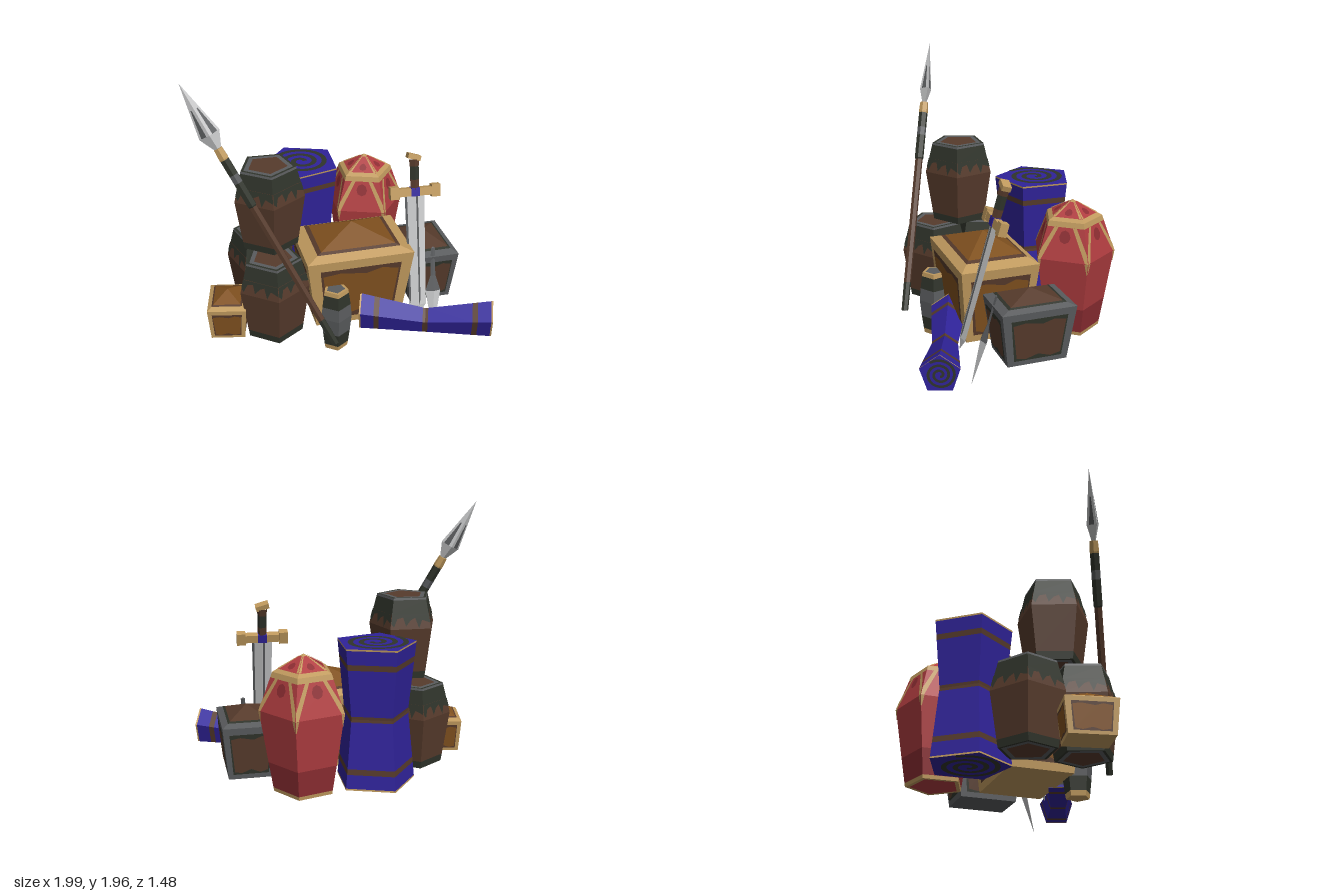
import * as THREE from 'three';

const paint = (name, color) => Object.assign(new THREE.MeshStandardMaterial({ color }), { name });
const olive = paint('darkOlive', 0x30342b), grey = paint('ironGrey', 0x5a5c5e);
const brown = paint('woodBrown', 0x573b2c), orange = paint('panelBrown', 0x80511f);
const gold = paint('paleGold', 0xc09a5e), blue = paint('clothBlue', 0x30239a);
const red = paint('red', 0xb03d40), darkRed = paint('darkRed', 0x8e2e33);
const silver = paint('steel', 0xc6c7c8);

const mesh = (name, geo, mat) => Object.assign(new THREE.Mesh(geo, mat), { name });

function group(name, ...kids) {
  const g = new THREE.Group();
  g.name = name;
  if (kids.length) g.add(...kids);
  return g;
}

// Faceted solid of revolution: rows are [radius, y, material of the band below]
function stack(name, sides, rows, phase = 0) {
  const g = group(name);
  for (let i = 1; i < rows.length; i++) {
    const [r0, y0] = rows[i - 1], [r1, y1, mat] = rows[i];
    const geo = new THREE.CylinderGeometry(r1, r0, y1 - y0, sides, 1, true, phase).toNonIndexed();
    geo.translate(0, (y0 + y1) / 2, 0);
    geo.computeVertexNormals();
    g.add(mesh('band', geo, mat));
  }
  return g;
}

// Thin painted plates, given in 0..1 panel coordinates, on every side of a band
function decals(g, name, sides, [r0, y0], [r1, y1], pts, mat, phase = 0, lift = 0.004) {
  const at = (i, r, y) => {
    const t = phase + i / sides * Math.PI * 2;
    return new THREE.Vector3(r * Math.sin(t), y, r * Math.cos(t));
  };
  for (let i = 0; i < sides; i++) {
    const a = at(i, r0, y0), b = at(i + 1, r0, y0), c = at(i + 1, r1, y1), d = at(i, r1, y1);
    const n = b.clone().sub(a).cross(d.clone().sub(a)).normalize().multiplyScalar(lift);
    const geo = new THREE.ShapeGeometry(new THREE.Shape(pts.map(p => new THREE.Vector2(...p))));
    const pos = geo.attributes.position;
    for (let k = 0; k < pos.count; k++) {
      const u = pos.getX(k), v = pos.getY(k);
      const p = a.clone().lerp(b, u).lerp(d.clone().lerp(c, u), v).add(n);
      pos.setXYZ(k, p.x, p.y, p.z);
    }
    geo.computeVertexNormals();
    g.add(mesh(name, geo, mat));
  }
}

const mirrorU = pts => pts.map(([u, v]) => [1 - u, v]);

function disc(u, v, ru, rv) {
  return Array.from({ length: 8 }, (_, i) => [u + ru * Math.cos(i * Math.PI / 4), v + rv * Math.sin(i * Math.PI / 4)]);
}

// Stands an object built along +y between two points
function place(obj, from, to) {
  const a = new THREE.Vector3(...from), dir = new THREE.Vector3(...to).sub(a).normalize();
  obj.position.copy(a);
  obj.quaternion.setFromUnitVectors(new THREE.Vector3(0, 1, 0), dir);
  return obj;
}

function barrel(x, y, z, turn) {
  const g = stack('barrel', 5, [[0, 0], [0.135, 0, brown], [0.17, 0, grey], [0.19, 0, olive],
    [0.1975, 0.05, olive], [0.244, 0.36, brown], [0.218, 0.46, brown], [0.194, 0.555, olive],
    [0.19, 0.57, grey], [0.17, 0.57, olive], [0.135, 0.57, grey], [0, 0.57, brown]]);
  decals(g, 'tarDrips', 5, [0.244, 0.36], [0.218, 0.46], [[0, 1], [0, 0.4], [0.08, 0.15], [0.15, 0.7],
    [0.3, 0.8], [0.38, 0.2], [0.5, 0.6], [0.62, 0.75], [0.7, 0.05], [0.8, 0.6], [1, 0.4], [1, 1]], olive);
  g.position.set(x, y, z);
  g.rotation.y = turn;
  return g;
}

// Tapered box with a low pyramid lid, a frame and inset panels
function crate(name, [w, wall, d], apex, taper, frame, edge, panel) {
  const q = Math.SQRT1_2, ph = Math.PI / 4, lid = k => wall + (apex - wall) * (1 - k);
  const g = stack(name, 4, [[0, 0], [q * taper, 0, frame], [q, wall, frame], [q * 0.78, lid(0.78), frame],
    [q * 0.7, lid(0.7), edge], [0, apex, panel]], ph);
  const lo = [q * taper, 0], hi = [q, wall];
  decals(g, 'panelEdge', 4, lo, hi, [[0.11, 0.1], [0.89, 0.1], [0.89, 0.88], [0.11, 0.88]], edge, ph, 0.008);
  decals(g, 'panel', 4, lo, hi, [[0.15, 0.16], [0.3, 0.13], [0.5, 0.2], [0.7, 0.13], [0.86, 0.17],
    [0.87, 0.8], [0.7, 0.84], [0.55, 0.78], [0.3, 0.83], [0.13, 0.8]], panel, ph, 0.014);
  g.scale.set(w, 1, d);
  return g;
}

// Waisted cloth roll with ties and a spiral on both ends
function clothRoll(h, r, waist, bend) {
  const row = (t, mat) => [r * (1 - (1 - waist) * (1 - Math.abs(2 * t - 1))), t * h, mat];
  const g = stack('clothRoll', 5, [[0, 0], row(0, blue), row(0.012, gold), row(0.11, blue), row(0.15, brown),
    row(0.48, blue), row(0.5, brown), row(0.52, brown), row(0.85, blue), row(0.89, brown),
    row(0.988, blue), row(1, gold), [0, h, blue]], -Math.PI / 2);
  g.children.forEach(({ geometry }) => {
    const p = geometry.attributes.position;
    for (let i = 0; i < p.count; i++) {
      p.setX(i, p.getX(i) + bend * (1 - Math.abs(2 * p.getY(i) / h - 1)));
    }
    geometry.computeVertexNormals();
  });
  const outer = [], inner = [];
  for (let i = 0; i <= 60; i++) {
    const t = i / 60, a = t * Math.PI * 5.2, rad = r * (0.08 + 0.68 * t);
    outer.push(new THREE.Vector2(Math.cos(a) * (rad + r * 0.065), Math.sin(a) * (rad + r * 0.065)));
    inner.unshift(new THREE.Vector2(Math.cos(a) * (rad - r * 0.065), Math.sin(a) * (rad - r * 0.065)));
  }
  const spiral = new THREE.ShapeGeometry(new THREE.Shape([...outer, ...inner]));
  [[h + 0.003, -1], [-0.003, 1]].forEach(([y, s]) => {
    const m = mesh('spiral', spiral, olive);
    m.position.y = y;
    m.rotation.x = s * Math.PI / 2;
    g.add(m);
  });
  return g;
}

function redPot() {
  const ph = Math.PI / 2;
  const g = stack('redPot', 5, [[0, 0], [0.17, 0, red], [0.2, 0, gold], [0.204, 0.025, gold], [0.233, 0.2, darkRed],
    [0.289, 0.55, red], [0.212, 0.765, red], [0.2, 0.8, gold], [0.165, 0.819, gold],
    [0.025, 0.896, red], [0, 0.91, gold]], ph);
  const belly = [0.289, 0.55], neck = [0.212, 0.765];
  const vee = [[0, 0], [0.06, 0], [0.31, 1], [0.2, 1], [0, 0.25]];
  const spoke = [[0, 0], [0.09, 0], [0.2, 1], [0, 1]];
  [vee, mirrorU(vee)].forEach(p => decals(g, 'goldVee', 5, belly, neck, p, gold, ph));
  [spoke, mirrorU(spoke)].forEach(p => decals(g, 'goldSpoke', 5, [0.165, 0.819], [0.025, 0.896], p, gold, ph));
  const point = [[0, 0.75], [0.07, 1], [0, 1]];
  [point, mirrorU(point)].forEach(p => decals(g, 'goldPoint', 5, [0.233, 0.2], belly, p, gold, ph));
  decals(g, 'spot', 5, belly, neck, disc(0.5, 0.72, 0.14, 0.2), darkRed, ph);
  decals(g, 'lidSpot', 5, [0.165, 0.819], [0.025, 0.896], disc(0.5, 0.32, 0.18, 0.22), darkRed, ph);
  g.position.set(0.313, 0.17, -0.469);
  return g;
}

function spear() {
  const blade = stack('spearBlade', 4, [[0.02, 1.52], [0.07, 1.63, silver], [0, 1.99, silver]], Math.PI / 2);
  decals(blade, 'bladeShade', 4, [0.07, 1.63], [0, 1.99], [[0.25, 0], [0.75, 0], [0.6, 0.5], [0.4, 0.5]], grey, Math.PI / 2);
  blade.scale.z = 0.6;
  const shaft = stack('spearShaft', 6, [[0, 0], [0.024, 0, olive], [0.026, 0.2, olive], [0.027, 1.1, brown],
    [0.032, 1.11, olive], [0.032, 1.28, olive], [0.032, 1.34, grey], [0.032, 1.45, olive],
    [0.034, 1.46, gold], [0.03, 1.53, gold], [0, 1.53, gold]]);
  return place(group('spear', shaft, blade), [-0.13, 0.22, 0.6], [-1, 1.96, 0.17]);
}

function sword() {
  const blade = stack('swordBlade', 4, [[0, 0], [0.058, 0.08, silver], [0.068, 0.87, silver]], Math.PI / 2);
  decals(blade, 'fuller', 4, [0.058, 0.08], [0.068, 0.87], [[0, 0], [0.22, 0.05], [0.22, 1], [0, 1]], grey, 0);
  blade.scale.z = 0.32;
  const box = (name, w, h, d, x, y, mat) => {
    const m = mesh(name, new THREE.BoxGeometry(w, h, d), mat);
    m.position.set(x, y, 0);
    return m;
  };
  const grip = stack('grip', 5, [[0.03, 0.9], [0.033, 0.97, brown], [0.033, 1.06, olive], [0.038, 1.11, brown]]);
  const pommel = box('pommel', 0.09, 0.035, 0.06, 0, 1.125, gold);
  pommel.rotation.z = -0.3;
  const g = group('sword', blade, grip, pommel, box('guard', 0.24, 0.055, 0.05, 0, 0.885, gold),
    box('gem', 0.06, 0.058, 0.058, 0, 0.885, blue));
  [-1, 1].forEach(s => g.add(box('guardEnd', 0.06, 0.085, 0.055, s * 0.145, 0.885, gold)));
  return place(g, [0.51, 0.2, 0.375], [0.52, 1.31, 0.065]);
}

function dagger() {
  const g = stack('dagger', 4, [[0, 0], [0.055, 0.32, silver], [0.018, 0.43, grey], [0.015, 0.63, grey], [0, 0.64, grey]], Math.PI / 2);
  g.scale.z = 0.45;
  return place(group('daggerMount', g), [0.64, 0, 0.335], [0.66, 0.62, 0.17]);
}

export function createModel() {
  const model = group('supplyPile');
  const put = (obj, x, y, z, turn = 0) => {
    obj.position.set(x, y, z);
    obj.rotation.y = turn;
    model.add(obj);
  };

  // Barrel stack
  model.add(barrel(-0.487, 0.18, 0.28, 0), barrel(-0.515, 0.18, -0.09, Math.PI), barrel(-0.476, 0.762, 0.1, 0));

  // Chest and crates
  put(crate('chest', [0.74, 0.52, 0.54], 0.665, 0.82, gold, brown, orange), 0.09, 0.18, 0.09, 0.04);
  put(crate('ironCrate', [0.37, 0.37, 0.5], 0.46, 0.8, grey, olive, brown), 0.652, 0.18, -0.05, 0.04);
  put(crate('smallCrate', [0.26, 0.225, 0.33], 0.3, 0.87, gold, brown, orange), -0.79, 0.18, 0.19, -0.17);

  // Cloth rolls, one standing and one lying
  put(clothRoll(0.945, 0.275, 0.82, 0), -0.171, 0.165, -0.37);
  const lying = clothRoll(0.9, 0.13, 0.68, 0.05);
  lying.position.set(0.1, 0.285, 0.335);
  lying.rotation.set(0, -0.32, -Math.PI / 2);
  model.add(lying);

  // Small keg at the front
  put(stack('smallKeg', 5, [[0, 0], [0.08, 0, gold], [0.086, 0.035, gold], [0.098, 0.13, olive], [0.11, 0.25, grey],
    [0.102, 0.34, grey], [0.09, 0.43, olive], [0.085, 0.46, gold], [0.065, 0.46, gold], [0, 0.46, grey]]), -0.085, 0.055, 0.39);

  model.add(redPot(), spear(), sword(), dagger());
  return model;
}
